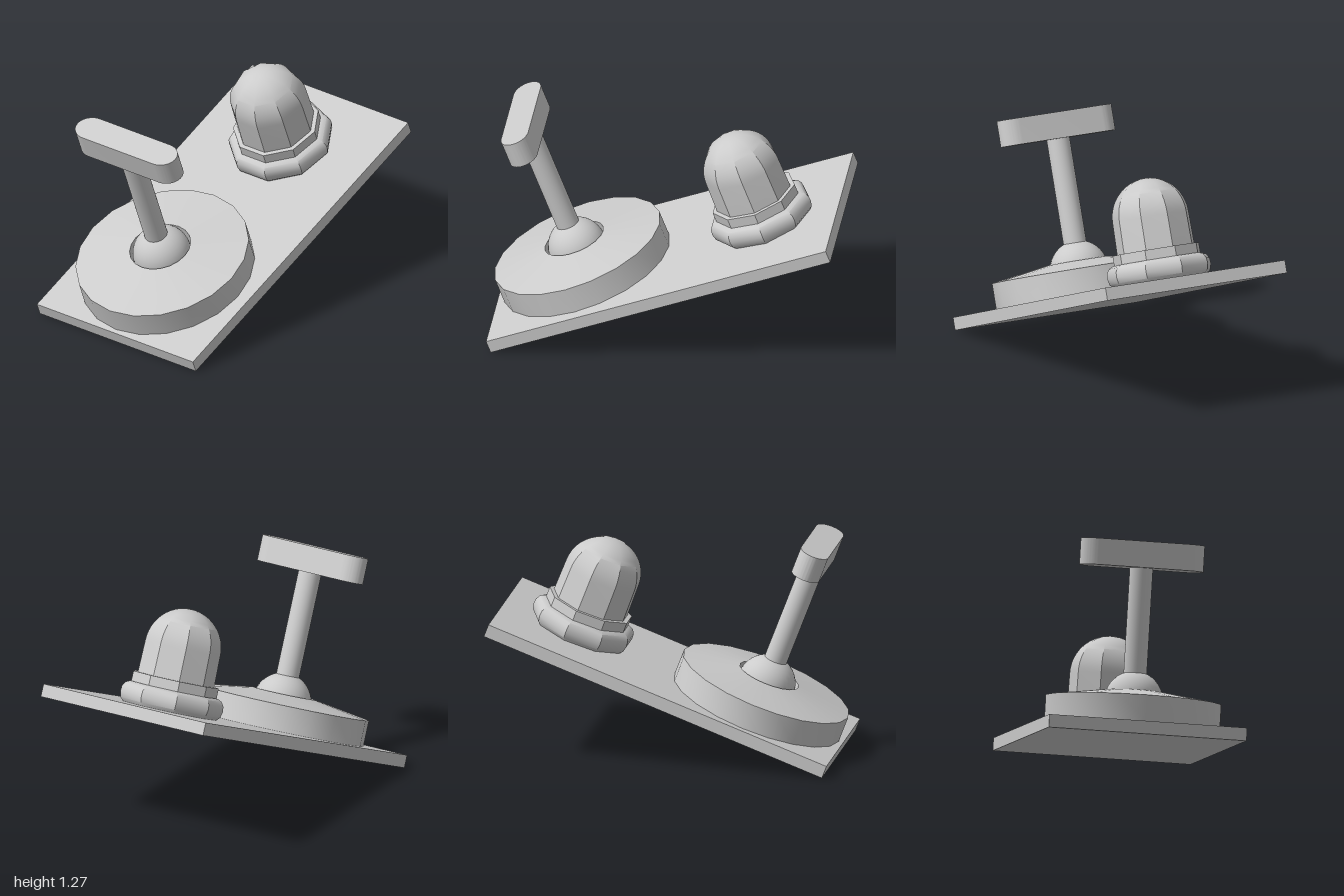
import * as THREE from 'three';
import { toCreasedNormals } from 'three/addons/utils/BufferGeometryUtils.js';

const material = new THREE.MeshStandardMaterial({ color: 0xcccccc });

function addPart(parent, name, geometry, x, y, z) {
  const mesh = new THREE.Mesh(geometry, material);
  mesh.name = name;
  mesh.position.set(x, y, z);
  parent.add(mesh);
  return mesh;
}

// Turned part from [radius, height] pairs, keeping its hard edges
function turned(profile, sides, start = 0) {
  const points = profile.map(([r, y]) => new THREE.Vector2(r, y));
  return toCreasedNormals(new THREE.LatheGeometry(points, sides, start), 0.55);
}

export function createModel() {
  const model = new THREE.Group();

  // Everything sits on the sloping plate; local y = 0 is its top face
  const panel = new THREE.Group();
  panel.name = 'slopingPanel';
  panel.position.y = 0.4425;
  panel.rotation.x = THREE.MathUtils.degToRad(21);
  model.add(panel);

  addPart(panel, 'basePlate', new THREE.BoxGeometry(1.135, 0.074, 2.08), 0, -0.037, 0);

  // Lever: shallow conical disc with a socket, ball, stem and grip
  const lever = new THREE.Group();
  lever.name = 'lever';
  lever.position.set(-0.012, 0, 0.51);
  panel.add(lever);

  const disc = [[0, 0], [0.504, 0], [0.504, 0.15], [0.178, 0.2], [0.178, 0.1], [0, 0.1]];
  addPart(lever, 'leverDisc', turned(disc, 20), 0, 0, 0);
  addPart(lever, 'leverBall', new THREE.SphereGeometry(0.167, 32, 20), 0, 0.15, 0);
  addPart(lever, 'leverStem', new THREE.CylinderGeometry(0.066, 0.066, 0.78, 32), 0, 0.55, 0);

  // Grip: bar with rounded ends
  const half = 0.355, depth = 0.083, end = 0.1;
  const outline = new THREE.Shape();
  outline.moveTo(-half + end, -depth);
  outline.lineTo(half - end, -depth);
  outline.absellipse(half - end, 0, end, depth, -Math.PI / 2, Math.PI / 2);
  outline.lineTo(-half + end, depth);
  outline.absellipse(-half + end, 0, end, depth, Math.PI / 2, Math.PI * 1.5);
  const grip = new THREE.ExtrudeGeometry(outline, { depth: 0.15, bevelEnabled: false, curveSegments: 20 });
  grip.rotateX(-Math.PI / 2);
  addPart(lever, 'leverGrip', toCreasedNormals(grip, 0.6), 0, 0.901, 0);

  // Nine-sided domed button with a bulging foot and a collar
  const button = new THREE.Group();
  button.name = 'domedButton';
  button.position.set(0.002, 0, -0.583);
  panel.add(button);

  const foot = [[0, 0], [0.275, 0], [0.295, 0.02], [0.303, 0.055], [0.3, 0.085], [0.284, 0.11], [0.26, 0.122], [0, 0.122]];
  const collar = [[0, 0.11], [0.252, 0.11], [0.252, 0.18], [0, 0.18]];
  const dome = [[0, 0.15], [0.226, 0.15]];
  for (let i = 0; i <= 12; i++) {
    const a = (i / 12) * Math.PI / 2;
    dome.push([0.222 * Math.cos(a), 0.365 + 0.222 * Math.sin(a)]);
  }
  const parts = { buttonFoot: foot, buttonCollar: collar, buttonDome: dome };
  for (const [name, profile] of Object.entries(parts)) {
    addPart(button, name, turned(profile, 9, Math.PI), 0, 0, 0);
  }

  return model;
}
